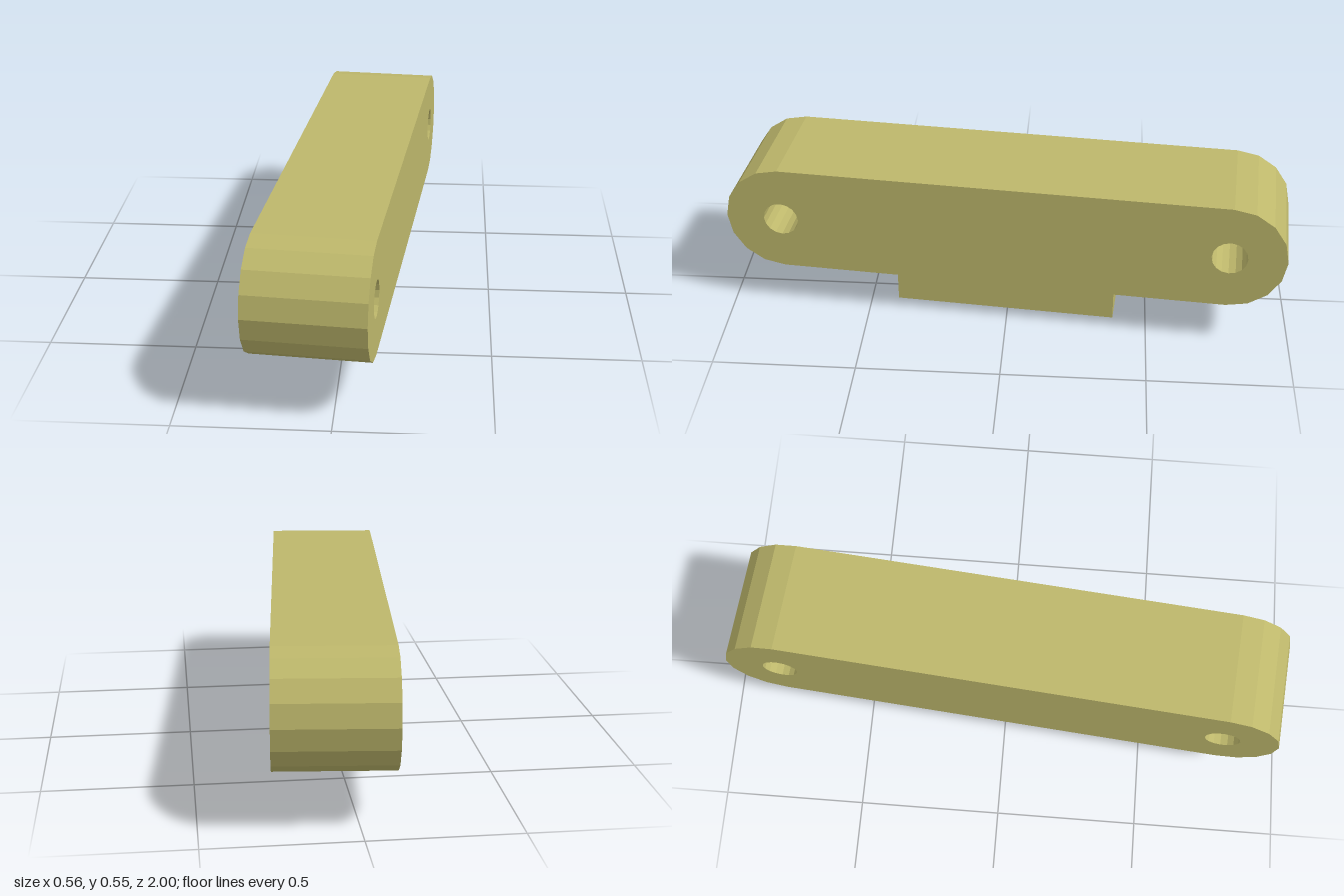
import * as THREE from 'three';

const RADIUS = 0.197, PIVOT = 0.789, WIDTH = 0.392, BASE_HEIGHT = 0.16;

// points of an arc, in steps of 22.5 degrees
function arc(cx, radius, start, steps) {
  return Array.from({ length: steps }, (_, i) => {
    const a = start + i * Math.PI / 8;
    return new THREE.Vector2(cx + radius * Math.cos(a), radius * Math.sin(a));
  });
}

export function createModel() {
  const group = new THREE.Group();
  group.name = 'linkOnBase';
  const material = new THREE.MeshStandardMaterial({ color: 0xbdb76b, flatShading: true });

  // link bar: stadium outline with a pin hole at each end
  const outline = new THREE.Shape([
    ...arc(PIVOT, RADIUS, -Math.PI / 2, 9),
    ...arc(-PIVOT, RADIUS, Math.PI / 2, 9),
  ]);
  for (const side of [-1, 1]) {
    outline.holes.push(new THREE.Path(arc(side * PIVOT, 0.062, 0, 16)));
  }
  const barGeometry = new THREE.ExtrudeGeometry(outline, { depth: WIDTH, bevelEnabled: false });
  barGeometry.translate(0, 0, -WIDTH / 2).rotateY(Math.PI / 2);
  const bar = new THREE.Mesh(barGeometry, material);
  bar.name = 'linkBar';
  bar.position.y = BASE_HEIGHT + RADIUS;
  group.add(bar);

  // base block under the middle
  const base = new THREE.Mesh(new THREE.BoxGeometry(0.237, BASE_HEIGHT, 0.788), material);
  base.name = 'baseBlock';
  base.position.y = BASE_HEIGHT / 2;
  group.add(base);

  // the whole piece is turned slightly about the vertical
  group.rotation.y = THREE.MathUtils.degToRad(-5);
  return group;
}
